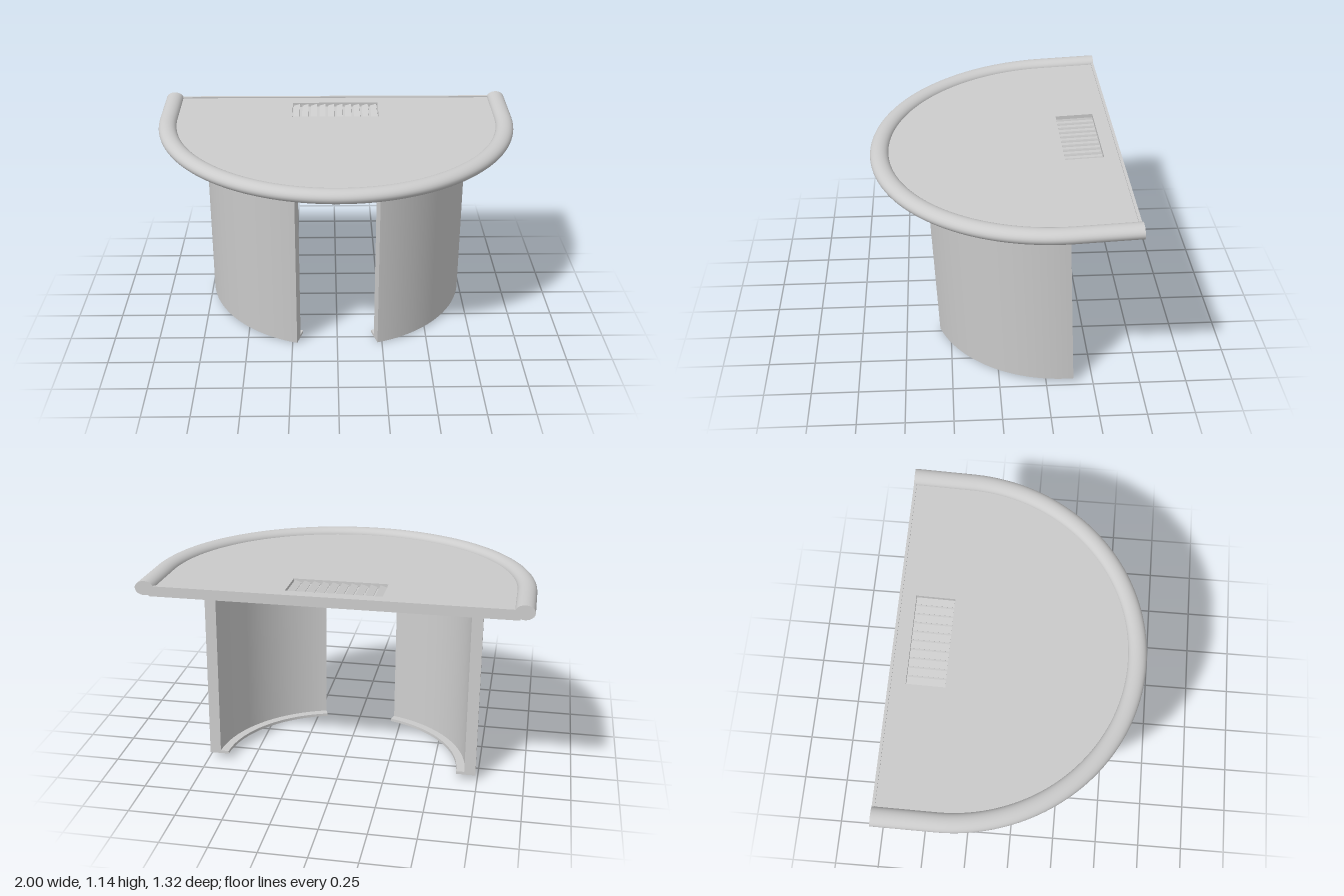
import * as THREE from 'three';
import { toCreasedNormals } from 'three/addons/utils/BufferGeometryUtils.js';

const ZC = -0.34;      // centre of every arc
const BACK = -0.66;    // straight back edge
const RIM = 0.95;      // radius of the rim's centre line
const material = new THREE.MeshStandardMaterial({ color: 0xcccccc });

function part(parent, name, geometry, x = 0, y = 0, z = 0) {
  const mesh = new THREE.Mesh(geometry, material);
  mesh.name = name;
  mesh.position.set(x, y, z);
  parent.add(mesh);
  return mesh;
}

// Plan outline (x, z) extruded from a top height down to a bottom height
function slab(shape, top, bottom) {
  const geo = new THREE.ExtrudeGeometry(shape, { depth: top - bottom, bevelEnabled: false, curveSegments: 56 });
  geo.rotateX(Math.PI / 2).translate(0, top, 0);
  return toCreasedNormals(geo, 0.4);
}

// Straight back, straight short sides, semicircular front
function topOutline(r) {
  const s = new THREE.Shape();
  s.moveTo(-r, BACK + 0.005);
  s.lineTo(r, BACK + 0.005);
  s.lineTo(r, ZC);
  s.absarc(0, ZC, r, 0, Math.PI, false);
  s.closePath();
  return s;
}

function arcBand(inner, outer, a0, a1) {
  const s = new THREE.Shape();
  s.absarc(0, ZC, outer, a0, a1, false);
  s.absarc(0, ZC, inner, a1, a0, true);
  s.closePath();
  return s;
}

// Centre line of the padded rim
class RimCurve extends THREE.Curve {
  getPoint(t, target = new THREE.Vector3()) {
    const straight = ZC - BACK, arc = Math.PI * RIM;
    const d = t * (2 * straight + arc);
    if (d < straight) return target.set(RIM, 0, BACK + d);
    if (d > straight + arc) return target.set(-RIM, 0, ZC - (d - straight - arc));
    const a = (d - straight) / RIM;
    return target.set(RIM * Math.cos(a), 0, ZC + RIM * Math.sin(a));
  }
}

export function createModel() {
  const model = new THREE.Group();
  model.name = 'desk';

  // The whole desk leans slightly forward
  const desk = new THREE.Group();
  desk.name = 'tiltedDesk';
  desk.position.y = 1.07;
  desk.rotation.x = 0.051;
  model.add(desk);

  // Desktop: solid base and a top sheet with the vent opening
  part(desk, 'desktopBase', slab(topOutline(0.93), -0.02, -0.043));
  const sheet = topOutline(0.93);
  const hole = new THREE.Path();
  hole.moveTo(-0.25, -0.57);
  hole.lineTo(-0.25, -0.365);
  hole.lineTo(0.245, -0.365);
  hole.lineTo(0.245, -0.57);
  hole.closePath();
  sheet.holes.push(hole);
  part(desk, 'desktopSheet', slab(sheet, 0.005, -0.02));
  part(desk, 'backLip', new THREE.BoxGeometry(1.82, 0.03, 0.015), 0, -0.003, BACK + 0.0075);

  // Vent slats
  const vent = new THREE.Group();
  vent.name = 'vent';
  desk.add(vent);
  for (let i = 0; i < 10; i++) {
    const slat = part(vent, 'ventSlat', new THREE.BoxGeometry(0.037, 0.005, 0.2), -0.226 + i * 0.0497, -0.009, -0.4675);
    slat.rotation.z = 0.3;
  }

  // Flattened round rim with flat ends
  const rim = new THREE.TubeGeometry(new RimCurve(), 110, 0.05, 24, false);
  rim.scale(1, 0.75, 1);
  part(desk, 'rim', rim);
  for (const side of [-1, 1]) {
    const cap = new THREE.CircleGeometry(0.05, 24);
    cap.rotateY(Math.PI).scale(1, 0.75, 1);
    part(desk, 'rimEnd', cap, side * RIM, 0, BACK);
  }

  // Curved panel legs, each with an inward foot flange
  const end = 1.262;
  for (const left of [true, false]) {
    const [a0, a1] = left ? [0, end] : [Math.PI - end, Math.PI];
    const leg = new THREE.Group();
    leg.name = left ? 'leftLeg' : 'rightLeg';
    desk.add(leg);
    part(leg, 'legPanel', slab(arcBand(0.68, 0.74, a0, a1), -0.03, -1.052));
    part(leg, 'footFlange', slab(arcBand(0.635, 0.69, a0, a1), -1.036, -1.0515));
  }

  return model;
}
